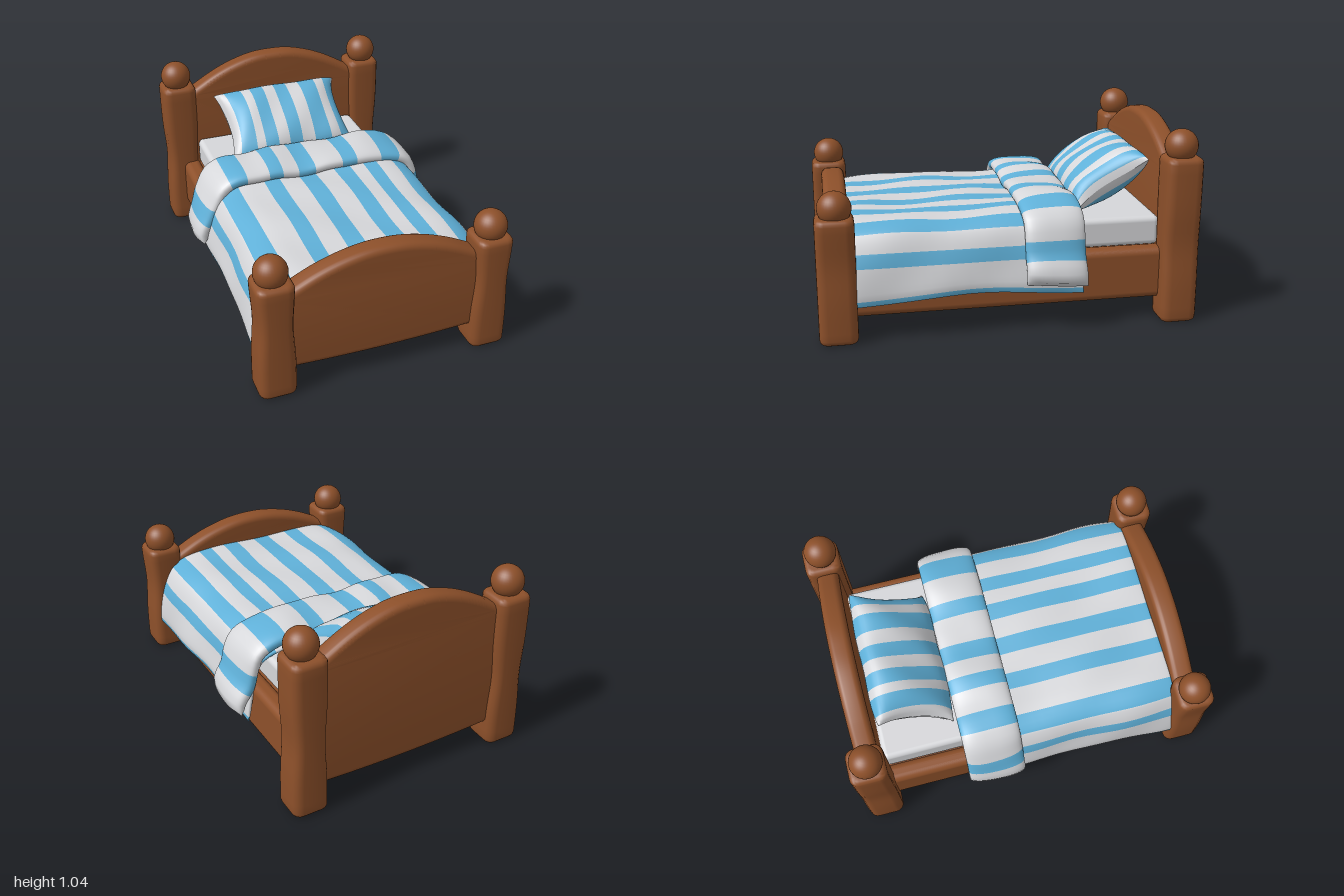
import * as THREE from 'three';
import { toCreasedNormals } from 'three/addons/utils/BufferGeometryUtils.js';
import { RoundedBoxGeometry } from 'three/addons/geometries/RoundedBoxGeometry.js';

const material = (name, color) => Object.assign(new THREE.MeshStandardMaterial({ color }), { name });
const wood = material('wood', 0x8d502a);
const linen = material('white linen', 0xd6d7da);
const blue = material('blue stripe', 0x5fb0d8);

function add(group, name, geometry, mat, x = 0, y = 0, z = 0) {
  const mesh = new THREE.Mesh(geometry, mat);
  mesh.name = name;
  mesh.position.set(x, y, z);
  group.add(mesh);
  return mesh;
}

// Rounded square post with a gentle waist
function postGeometry(width, height) {
  const bevel = 0.03, r = width / 2 - bevel, c = 0.02;
  const shape = new THREE.Shape();
  shape.moveTo(r - c, -r);
  shape.quadraticCurveTo(r, -r, r, -r + c).lineTo(r, r - c);
  shape.quadraticCurveTo(r, r, r - c, r).lineTo(-r + c, r);
  shape.quadraticCurveTo(-r, r, -r, r - c).lineTo(-r, -r + c);
  shape.quadraticCurveTo(-r, -r, -r + c, -r).lineTo(r - c, -r);
  const geo = new THREE.ExtrudeGeometry(shape, {
    depth: height - 2 * bevel, steps: 16, bevelSize: bevel, bevelThickness: bevel, bevelSegments: 4, curveSegments: 4,
  });
  geo.translate(0, 0, bevel).rotateX(-Math.PI / 2);
  const p = geo.attributes.position;
  for (let i = 0; i < p.count; i++) {
    const waist = 1 - 0.14 * Math.exp(-(((p.getY(i) - 0.42) / 0.15) ** 2));
    p.setX(i, p.getX(i) * waist);
  }
  return toCreasedNormals(geo, 0.9);
}

// Arched board with soft edges; heights run from the centre outwards
function boardGeometry(arch, depth) {
  const bevel = 0.035;
  const half = arch.map(([x, y]) => new THREE.Vector2(x, y));
  const top = [...half.slice(1).reverse(), ...half.map(v => new THREE.Vector2(-v.x, v.y))];
  const shape = new THREE.Shape();
  shape.moveTo(-0.56, 0.13);
  shape.quadraticCurveTo(0, 0.095, 0.56, 0.13);
  shape.lineTo(top[0].x, top[0].y);
  shape.splineThru(top.slice(1));
  const geo = new THREE.ExtrudeGeometry(shape, {
    depth: depth - 2 * bevel, bevelSize: bevel, bevelOffset: -bevel, bevelThickness: bevel, bevelSegments: 5, curveSegments: 40,
  });
  geo.translate(0, 0, bevel - depth / 2);
  return toCreasedNormals(geo, 0.7);
}

// Striped cloth: closed loops of n points at stations from -end to end
function stripedLoft(end, stripes, n, point) {
  const edges = stripes.flat().filter(e => Math.abs(e) < end);
  const stations = [...edges];
  for (let i = 0; i <= 60; i++) {
    const s = -end + (2 * end * i) / 60;
    if (!edges.some(e => Math.abs(e - s) < 0.008)) stations.push(s);
  }
  stations.sort((a, b) => a - b);
  const position = [], index = [];
  const geo = new THREE.BufferGeometry();
  stations.forEach((s, i) => {
    for (let k = 0; k < n; k++) position.push(...point(s, (k / n) * Math.PI * 2));
    if (i === stations.length - 1) return;
    const mid = (s + stations[i + 1]) / 2;
    const start = index.length;
    for (let k = 0; k < n; k++) {
      const a = i * n + k, b = i * n + ((k + 1) % n);
      index.push(a, a + n, b + n, a, b + n, b);
    }
    geo.addGroup(start, index.length - start, stripes.some(([a, b]) => mid > a && mid < b) ? 1 : 0);
  });
  geo.setAttribute('position', new THREE.Float32BufferAttribute(position, 3));
  geo.setIndex(index);
  geo.computeVertexNormals();
  return geo;
}

const power = (v, e) => Math.sign(v) * Math.abs(v) ** e;

// Cloth draped over the bed along a mirrored cross-section
function drapeGeometry(half, stripes, n, { z0, z1, thick, round, ripple }) {
  const points = [...half.slice(1).reverse().map(([x, y]) => [-x, y]), ...half];
  const curve = new THREE.CatmullRomCurve3(points.map(([x, y]) => new THREE.Vector3(x, y, 0)));
  curve.arcLengthDivisions = 800;
  const end = curve.getLength() / 2;
  return stripedLoft(end, stripes, n, (s, a) => {
    const t = THREE.MathUtils.clamp((s + end) / (2 * end), 0, 1);
    const p = curve.getPointAt(t), d = curve.getTangentAt(t);
    const z = (z0 + z1) / 2 + ((z1 - z0) / 2) * power(Math.cos(a), 0.8);
    const taper = Math.sqrt(Math.max(0, 1 - Math.max(0, (Math.abs(s) - end + 0.06) / 0.06) ** 2));
    const off = thick * taper * power(Math.sin(a), round) + ripple(s, z);
    const hem = THREE.MathUtils.smoothstep(Math.abs(s), 0.7, end);
    return [p.x - d.y * off, p.y + d.x * off + hem * 0.018 * Math.cos((z - 0.2) * 5), z];
  });
}

export function createModel() {
  const bed = new THREE.Group();
  bed.name = 'bed';

  // Posts with ball finials, and side rails
  const headPost = postGeometry(0.197, 0.9), footPost = postGeometry(0.2, 0.665);
  const ball = new THREE.SphereGeometry(0.087, 32, 20);
  const rail = new RoundedBoxGeometry(0.105, 0.285, 1.74, 5, 0.04);
  for (const [side, x] of [['left', 1], ['right', -1]]) {
    add(bed, `${side} head post`, headPost, wood, x * 0.594, 0, -0.9);
    add(bed, `${side} head ball`, ball, wood, x * 0.598, 0.955, -0.893);
    add(bed, `${side} foot post`, footPost, wood, x * 0.583, 0, 0.897);
    add(bed, `${side} foot ball`, ball, wood, x * 0.585, 0.707, 0.893);
    add(bed, `${side} rail`, rail, wood, x * 0.552, 0.26, 0);
  }

  // Arched end boards
  add(bed, 'headboard',
    boardGeometry([[0, 1.035], [0.12, 1.027], [0.25, 0.992], [0.37, 0.94], [0.5, 0.866], [0.56, 0.835]], 0.12),
    wood, 0, 0, -0.89);
  add(bed, 'footboard',
    boardGeometry([[0, 0.735], [0.12, 0.727], [0.25, 0.698], [0.37, 0.655], [0.49, 0.597], [0.56, 0.565]], 0.125),
    wood, 0, 0, 0.882);

  // Bed base and mattress
  add(bed, 'base', new THREE.BoxGeometry(1.04, 0.18, 1.7), wood, 0, 0.29, 0);
  add(bed, 'mattress', new RoundedBoxGeometry(1.01, 0.16, 1.65, 4, 0.03), linen, 0, 0.465, -0.005);

  // Blanket hanging over both sides, with a blue hem
  const cloth = [linen, blue];
  add(bed, 'blanket', drapeGeometry(
    [[0, 0.585], [0.3, 0.584], [0.46, 0.574], [0.548, 0.535], [0.59, 0.455], [0.618, 0.34], [0.642, 0.21]],
    [[-Infinity, -0.872], [-0.72, -0.65], [-0.56, -0.455], [-0.305, -0.215], [-0.1, 0], [0.115, 0.21], [0.29, 0.37],
      [0.465, 0.555], [0.65, 0.72], [0.872, Infinity]],
    72, {
      z0: -0.382, z1: 0.82, thick: 0.016, round: 0.35,
      ripple: (s, z) => 0.006 * Math.sin(z * 8 + s * 5) + 0.004 * Math.sin(z * 13 - s * 11)
        + 0.014 * THREE.MathUtils.smoothstep(Math.abs(s), 0.55, 0.8) * z,
    }), cloth);

  // Turned-down cuff, flaring outwards at its hanging ends
  add(bed, 'blanket cuff', drapeGeometry(
    [[0, 0.622], [0.3, 0.624], [0.48, 0.615], [0.56, 0.572], [0.6, 0.49], [0.628, 0.4], [0.668, 0.325], [0.672, 0.262]],
    [[-0.79, -0.68], [-0.5, -0.405], [-0.275, -0.195], [-0.1, 0], [0.165, 0.255], [0.405, 0.52], [0.68, 0.79]],
    40, {
      z0: -0.393, z1: -0.072, thick: 0.048, round: 0.8,
      ripple: (s, z) => 0.007 * Math.sin(s * 12 + z * 9) + 0.004 * Math.sin(s * 23),
    }), cloth);

  // Plump pillow with pinched corners, leaning on the headboard
  const pillow = add(bed, 'pillow', stripedLoft(0.385,
    [[-0.335, -0.235], [-0.18, -0.1], [-0.03, 0.05], [0.13, 0.235], [0.3, 0.37]], 40,
    (s, a) => {
      const u = s / 0.385, v = Math.cos(a);
      const puff = Math.max(0, 1 - u ** 4) ** 0.5;
      return [
        s * (1 - 0.11 * (1 - v * v) * u * u),
        0.118 * puff * power(Math.sin(a), 0.75) + 0.005 * Math.sin(s * 17 + v * 4),
        0.233 * power(v, 0.9),
      ];
    }), cloth, -0.012, 0.698, -0.605);
  pillow.rotation.x = 0.57;

  return bed;
}
